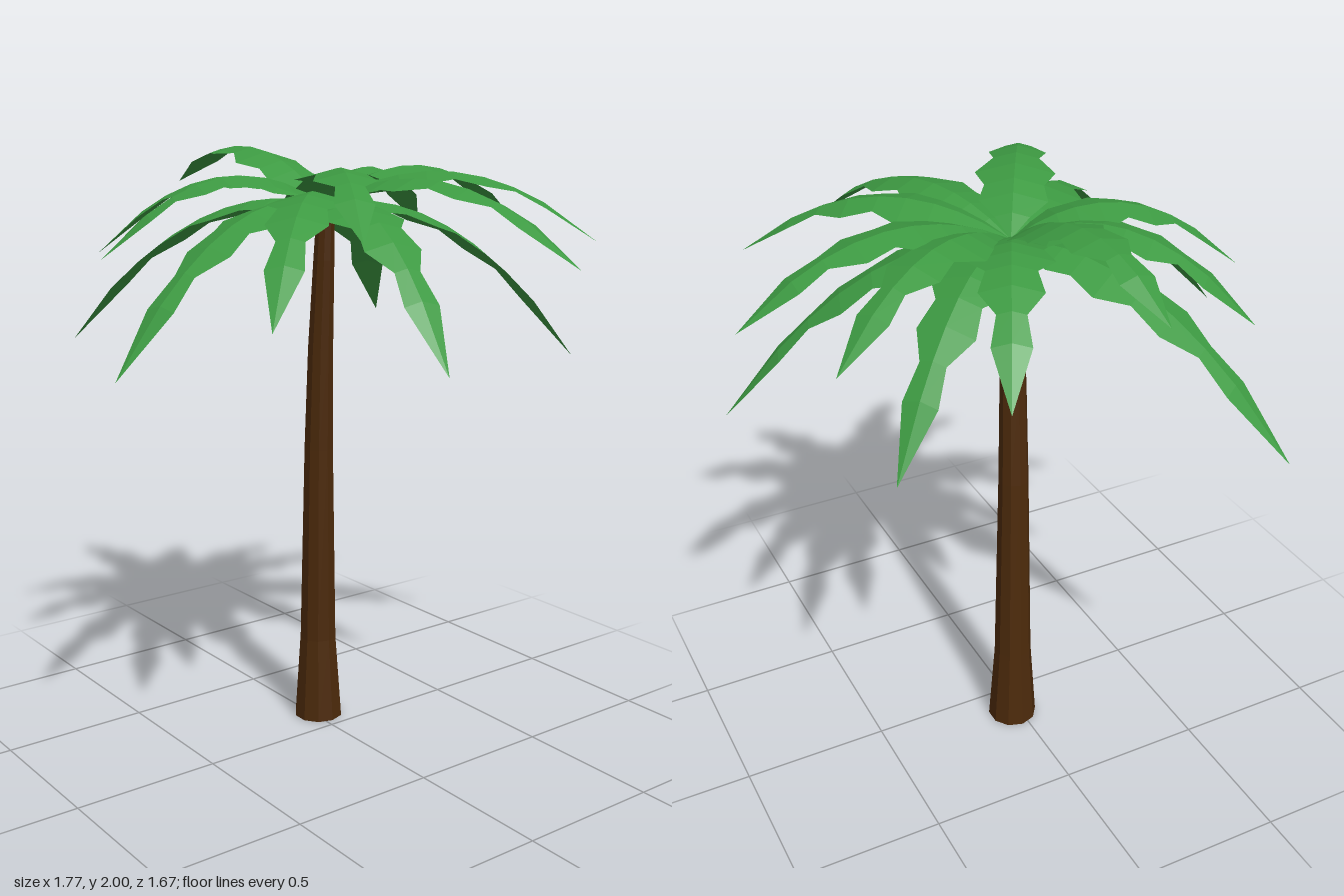
import * as THREE from 'three';

const leafGreen = new THREE.MeshStandardMaterial({ color: 0x3d9a42, side: THREE.DoubleSide });
const barkBrown = new THREE.MeshStandardMaterial({ color: 0x4c2a0b, side: THREE.DoubleSide });
leafGreen.name = 'leafGreen';
barkBrown.name = 'barkBrown';

const CROWN = new THREE.Vector3(-0.015, 1.83, -0.02);

// Facet a geometry after moving its vertices by a rule
function reshape(geometry, rule) {
  const p = geometry.attributes.position;
  const v = new THREE.Vector3();
  for (let i = 0; i < p.count; i++) {
    rule(v.fromBufferAttribute(p, i));
    p.setXYZ(i, v.x, v.y, v.z);
  }
  const flat = geometry.toNonIndexed();
  flat.computeVertexNormals();
  return flat;
}

// Leaning trunk: [y, centre x, centre z, radius], top to bottom
const TRUNK = [
  [1.83, -0.016, -0.012, 0.03],
  [1.65, -0.013, -0.027, 0.036],
  [1.35, -0.004, -0.058, 0.044],
  [1.0, 0.006, -0.083, 0.051],
  [0.3, 0.021, -0.11, 0.065],
  [0, 0.024, -0.113, 0.086],
];

function makeTrunk() {
  const n = TRUNK.length - 1;
  const geometry = reshape(new THREE.CylinderGeometry(1, 1, 1, 10, n, true), (v) => {
    const [y, cx, cz, r] = TRUNK[Math.round((0.5 - v.y) * n)];
    v.set(cx + v.x * r, y, cz + v.z * r);
  });
  const mesh = new THREE.Mesh(geometry, barkBrown);
  mesh.name = 'trunk';
  return mesh;
}

// Toothed leaf outline: [position along the frond, half width]
const OUTLINE = [
  [0, 0], [0.1, 0.055], [0.19, 0.11], [0.27, 0.095], [0.37, 0.13],
  [0.47, 0.075], [0.58, 0.095], [0.69, 0.043], [0.8, 0.058], [1, 0],
];
const FOLD = 0.26; // fall of each half away from the midrib

// Arching frond, folded along its midrib, from the crown to a tip
function makeFrond([tx, ty, tz]) {
  const n = OUTLINE.length - 1;
  const dx = tx - CROWN.x, dz = tz - CROWN.z, drop = ty - CROWN.y;
  const length = Math.hypot(dx, dz);
  const sag = 0.62 - 0.16 * drop;
  const geometry = reshape(new THREE.PlaneGeometry(2, 1, 2, n), (v) => {
    const [t, w] = OUTLINE[Math.round((0.5 - v.y) * n)];
    const across = v.x * w;
    v.set(
      CROWN.x + dx * t + (dz / length) * across,
      CROWN.y + (drop + sag) * t - sag * t * t - FOLD * Math.abs(across),
      CROWN.z + dz * t - (dx / length) * across,
    );
  });
  const mesh = new THREE.Mesh(geometry, leafGreen);
  mesh.name = 'frond';
  return mesh;
}

// Frond tips around the crown
const TIPS = [
  [0.88, 1.73, -0.06], [0.855, 1.28, 0.275], [0.67, 1.71, 0.54],
  [0.29, 1.67, 0.83], [-0.18, 1.4, 0.785], [-0.43, 1.78, 0.71],
  [-0.66, 1.55, 0.61], [-0.89, 1.37, 0.15], [-0.73, 1.68, -0.21],
  [-0.55, 1.66, -0.57], [-0.52, 1.33, -0.84], [-0.08, 1.87, -0.82],
  [0.33, 1.65, -0.7], [0.59, 1.38, -0.5], [0.71, 1.71, -0.4],
];

export function createModel() {
  const palm = new THREE.Group();
  palm.name = 'palmTree';
  const crown = new THREE.Group();
  crown.name = 'crown';
  for (const tip of TIPS) crown.add(makeFrond(tip));
  palm.add(makeTrunk(), crown);
  return palm;
}
